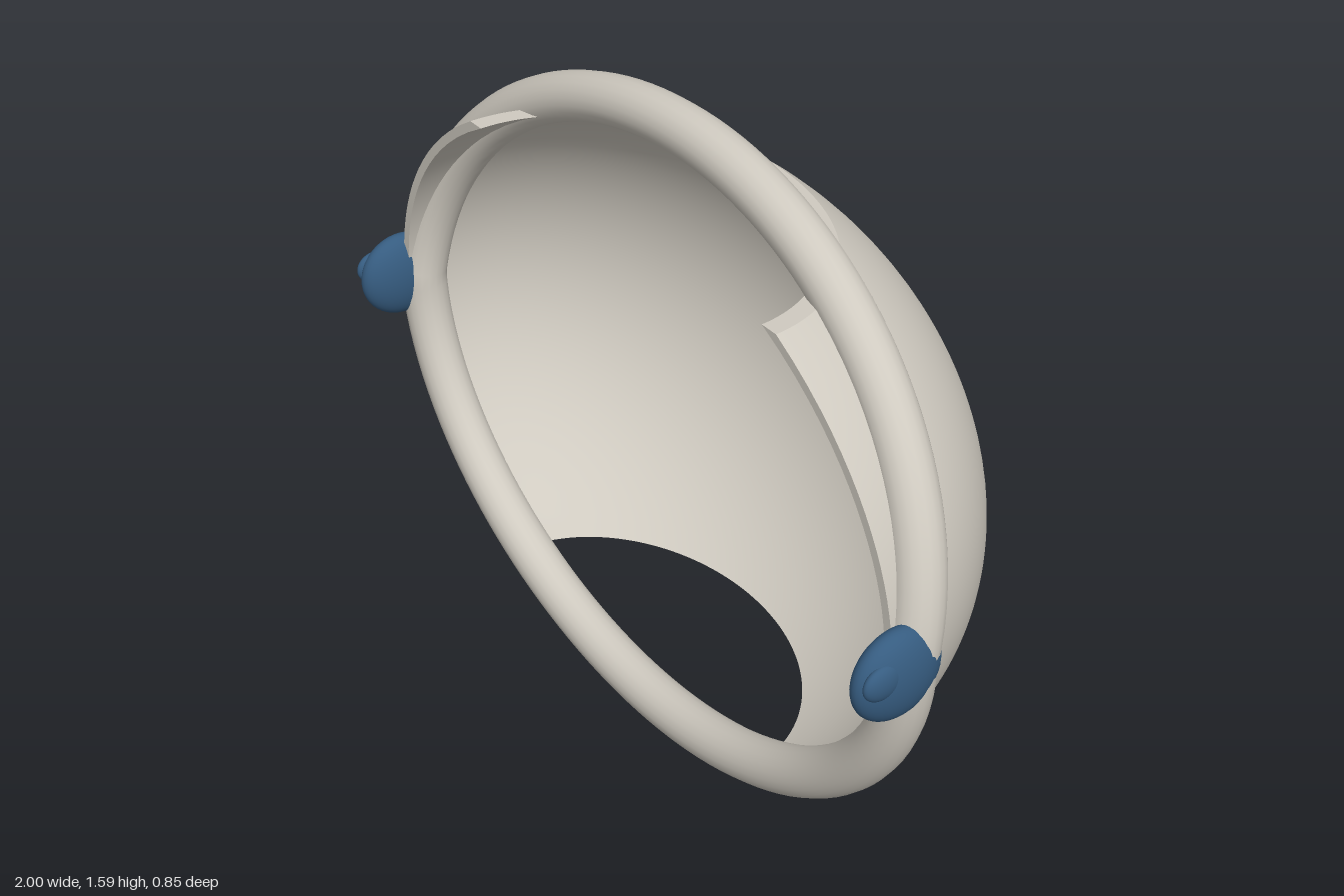
import * as THREE from 'three';
import { ParametricGeometry } from 'three/addons/geometries/ParametricGeometry.js';

const MID = 0.795;              // height of the centre
const FRONT = 0.31;             // z of the open front
const LOW = 0.19, HIGH = 1.39;  // level cuts through the bowl
const OUTER = [0.935, 0.74, 0.71];
const INNER = OUTER.map((r) => r - 0.022);

// Point on a half ellipsoid: height share h from cut to cut, share a around from side to side
function bowlPoint([rx, ry, rz], h, a, target) {
  const y = LOW + (HIGH - LOW) * h;
  const s = Math.sqrt(1 - ((y - MID) / ry) ** 2);
  const angle = Math.PI * a;
  return target.set(rx * s * Math.cos(angle), y, FRONT - rz * s * Math.sin(angle));
}

// Ring centre line: an upright lower half, with the upper half leaning back
class RingCurve extends THREE.Curve {
  getPoint(t, target = new THREE.Vector3()) {
    const a = t * Math.PI * 2;
    const rise = 0.735 * Math.sin(a);
    return target.set(0.932 * Math.cos(a), MID + rise, 0.26 - 0.21 * Math.max(0, rise));
  }
}

export function createModel() {
  const group = new THREE.Group();
  const beige = new THREE.MeshStandardMaterial({ name: 'warm grey', color: 0xcfcac0, side: THREE.DoubleSide });
  const blue = new THREE.MeshStandardMaterial({ name: 'steel blue', color: 0x365c80 });

  const add = (name, geometry, material, parent = group) => {
    const mesh = new THREE.Mesh(geometry, material);
    mesh.name = name;
    parent.add(mesh);
    return mesh;
  };

  // Thin-walled bowl, cut level above and below
  const bowl = new THREE.Group();
  bowl.name = 'bowl';
  group.add(bowl);
  const wall = (radii) => new ParametricGeometry((u, v, p) => bowlPoint(radii, v, u, p), 72, 36);
  add('bowlOutside', wall(OUTER), beige, bowl);
  add('bowlInside', wall(INNER), beige, bowl);

  // Rims that close the wall thickness
  const b = new THREE.Vector3();
  const rim = (along, steps) => new ParametricGeometry((u, v, p) => {
    const [h, a] = along(u);
    bowlPoint(OUTER, h, a, p).lerp(bowlPoint(INNER, h, a, b), v);
  }, steps, 1);
  add('bottomRim', rim((u) => [0, u], 72), beige, bowl);
  add('topRim', rim((u) => [1, u], 72), beige, bowl);
  add('leftRim', rim((u) => [u, 0], 36), beige, bowl);
  add('rightRim', rim((u) => [u, 1], 36), beige, bowl);

  // Bent ring around the opening
  add('ring', new THREE.TubeGeometry(new RingCurve(), 128, 0.058, 20, true), beige);

  // Flattened ball helper
  const ball = (name, radii, position, parent) => {
    const mesh = add(name, new THREE.SphereGeometry(1, 36, 24), blue, parent);
    mesh.scale.set(...radii);
    mesh.position.set(...position);
  };

  // Side buttons, each with a small knob
  for (const side of [1, -1]) {
    const button = new THREE.Group();
    button.name = side > 0 ? 'leftButton' : 'rightButton';
    group.add(button);
    ball('buttonDome', [0.05, 0.11, 0.112], [side * 0.95, 0.8, 0.312], button);
    ball('buttonKnob', [0.02, 0.042, 0.05], [side * 0.978, 0.825, 0.37], button);
  }

  // Thin disc on the back
  ball('backDisc', [0.187, 0.215, 0.017], [0, 0.85, -0.407], group);

  return group;
}
